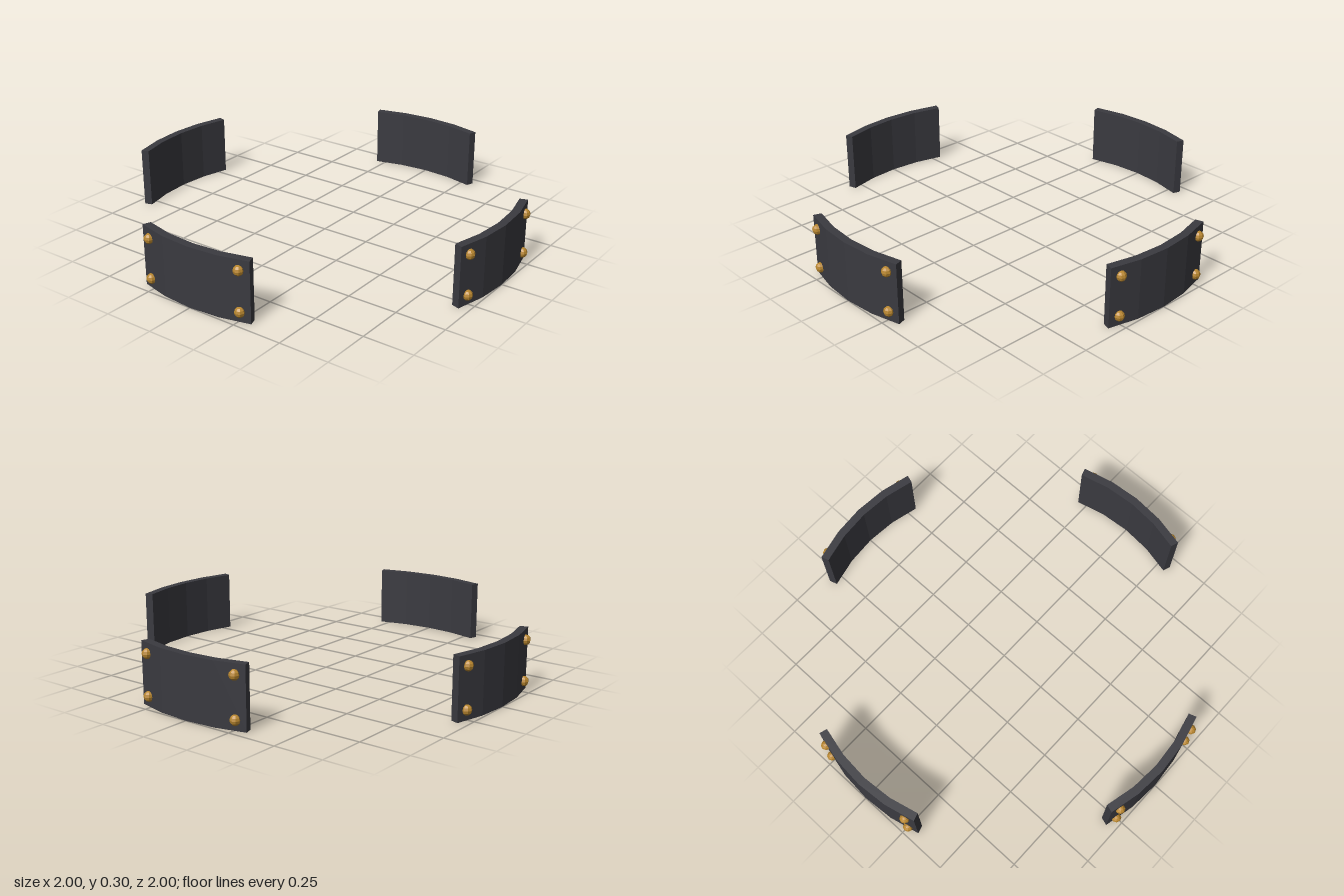
import * as THREE from 'three';

const OUTER = 1, INNER = 0.96, HEIGHT = 0.3, SEGMENTS = 4;
const HALF_ANGLE = Math.PI / 10;
const RIVET_ANGLE = Math.PI / 12;

const plateMaterial = new THREE.MeshStandardMaterial({ color: 0x3a3a40, flatShading: true });
const rivetMaterial = new THREE.MeshStandardMaterial({ color: 0xb8862f, flatShading: true });

// Faceted arc section, extruded upward
function plateGeometry() {
  const points = [];
  const arc = (radius, from, to) => {
    for (let i = 0; i <= SEGMENTS; i++) {
      const a = from + (to - from) * i / SEGMENTS;
      points.push(new THREE.Vector2(radius * Math.sin(a), -radius * Math.cos(a)));
    }
  };
  arc(OUTER, -HALF_ANGLE, HALF_ANGLE);
  arc(INNER, HALF_ANGLE, -HALF_ANGLE);
  const geometry = new THREE.ExtrudeGeometry(new THREE.Shape(points), {
    depth: HEIGHT, bevelEnabled: false,
  });
  return geometry.rotateX(-Math.PI / 2);
}

export function createModel() {
  const model = new THREE.Group();
  model.name = 'armourRing';
  const plate = plateGeometry();
  const rivet = new THREE.SphereGeometry(0.025, 8, 6);

  // Four plates at the quarter points, each with four corner rivets
  ['front', 'left', 'back', 'right'].forEach((side, i) => {
    const section = new THREE.Group();
    section.name = side + 'Section';
    section.rotation.y = i * Math.PI / 2;

    const body = new THREE.Mesh(plate, plateMaterial);
    body.name = 'curvedPlate';
    section.add(body);

    for (const a of [-RIVET_ANGLE, RIVET_ANGLE]) {
      for (const y of [0.05, 0.25]) {
        const head = new THREE.Mesh(rivet, rivetMaterial);
        head.name = 'rivet';
        head.position.set(OUTER * Math.sin(a), y, OUTER * Math.cos(a));
        section.add(head);
      }
    }
    model.add(section);
  });
  return model;
}
